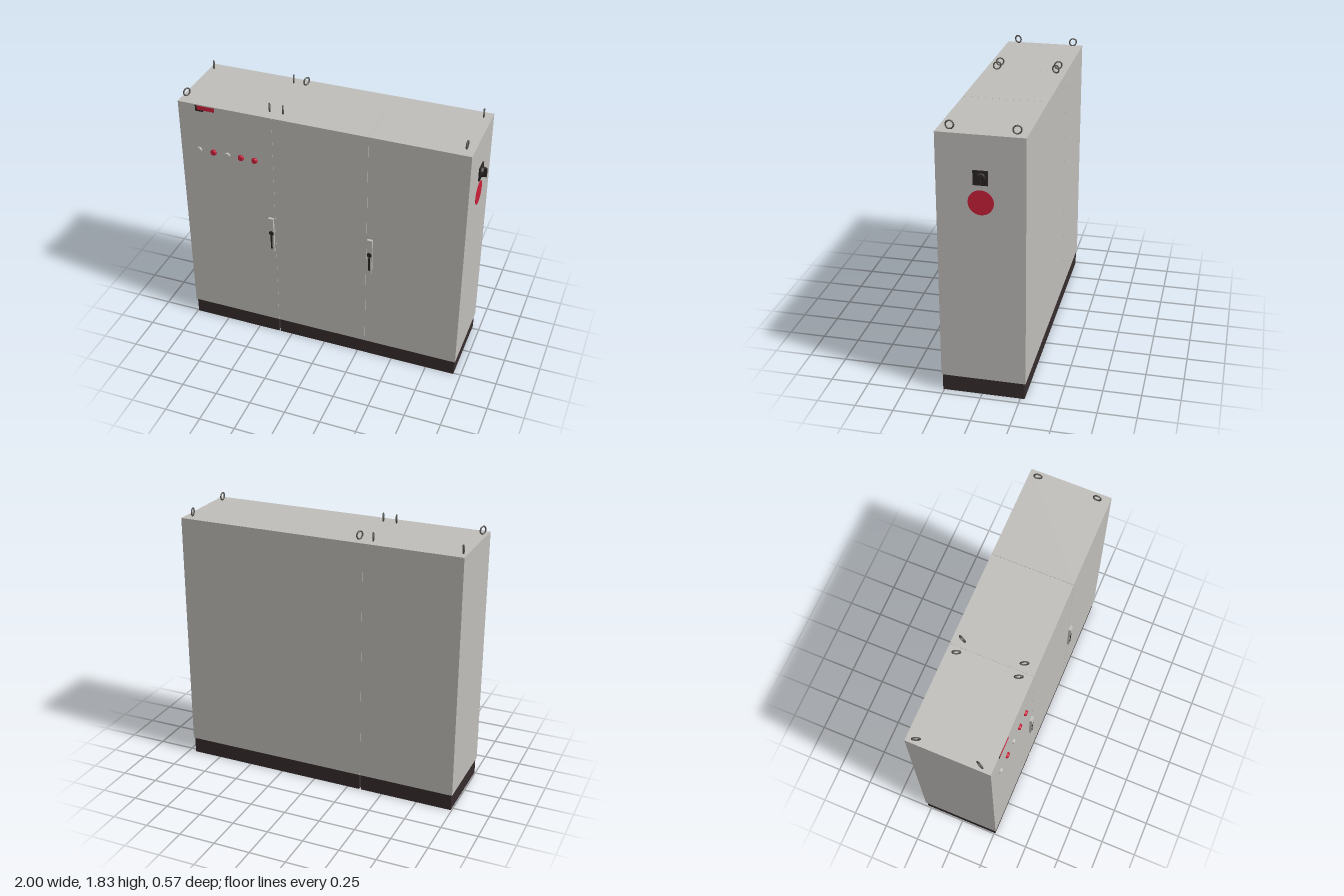
import * as THREE from 'three';

const paint = (name, color) => {
  const m = new THREE.MeshStandardMaterial({ color });
  m.name = name;
  return m;
};

export function createModel() {
  const grey = paint('cabinetGrey', 0xc0beba);
  const dark = paint('plinthBrown', 0x362c2d);
  const black = paint('switchBlack', 0x2a2423);
  const red = paint('signalRed', 0xcc203a);
  const steel = paint('ringSteel', 0x5a5854);

  const model = new THREE.Group();
  model.name = 'controlCabinet';

  const group = (name, parent = model) => {
    const g = new THREE.Group();
    g.name = name;
    parent.add(g);
    return g;
  };
  const add = (parent, name, geometry, material, x = 0, y = 0, z = 0) => {
    const m = new THREE.Mesh(geometry, material);
    m.name = name;
    m.position.set(x, y, z);
    parent.add(m);
    return m;
  };
  // Box given by its lowest and highest corners
  const box = (parent, name, mat, [x0, y0, z0], [x1, y1, z1]) =>
    add(parent, name, new THREE.BoxGeometry(x1 - x0, y1 - y0, z1 - z0), mat,
      (x0 + x1) / 2, (y0 + y1) / 2, (z0 + z1) / 2);

  const B = 0.115, T = 1.77, ZB = -0.285, ZF = 0.265, W = 0.005;
  const HALF = 0.0007; // half the seam between panels
  const SPLIT = -0.343, DOOR = 0.304, X0 = -1, X1 = 0.957;

  // Hollow sheet-metal enclosures, open underneath
  const shell = (name, x0, x1, cuts) => {
    const g = group(name);
    box(g, 'backPanel', grey, [x0, B, ZB], [x1, T - W, ZB + W]);
    box(g, 'sidePanel', grey, [x0, B, ZB + W], [x0 + W, T - W, ZF - W]);
    box(g, 'sidePanel', grey, [x1 - W, B, ZB + W], [x1, T - W, ZF - W]);
    const stops = [x0, ...cuts, x1];
    for (let i = 0; i < stops.length - 1; i++) {
      const a = stops[i] + (i ? HALF : 0);
      const b = stops[i + 1] - (i < stops.length - 2 ? HALF : 0);
      box(g, 'door', grey, [a, B, ZF - W], [b, T - W, ZF]);
      box(g, 'roofPanel', grey, [a, T - W, ZB], [b, T, ZF]);
    }
  };
  shell('narrowEnclosure', X0, SPLIT - 0.0004, []);
  shell('wideEnclosure', SPLIT + 0.0004, X1, [DOOR]);

  // Plinth frames, open top and bottom
  const plinth = (x0, x1) => {
    const g = group('plinth'), z0 = -0.278, z1 = 0.258, w = 0.008;
    box(g, 'plinthFront', dark, [x0, 0, z1 - w], [x1, B, z1]);
    box(g, 'plinthBack', dark, [x0, 0, z0], [x1, B, z0 + w]);
    box(g, 'plinthSide', dark, [x0, 0, z0 + w], [x0 + w, B, z1 - w]);
    box(g, 'plinthSide', dark, [x1 - w, 0, z0 + w], [x1, B, z1 - w]);
  };
  plinth(-0.993, -0.35);
  plinth(-0.336, 0.95);

  // Lifting rings, each twisted a little: x, z, sideways lean
  const ring = new THREE.TorusGeometry(0.025, 0.005, 8, 24);
  [
    [-0.972, -0.22, 0.4], [-0.972, 0.185, -0.45],
    [-0.388, -0.22, 0.4], [-0.388, 0.185, 0.4],
    [-0.296, -0.22, -0.4], [-0.296, 0.185, 0.4],
    [0.905, -0.22, 0.2], [0.905, 0.185, 0],
  ].forEach(([x, z, lean]) => {
    add(model, 'liftingRing', ring, steel, x, T + 0.03, z).rotation.y = Math.PI / 2 + lean;
  });

  // Row of indicator buttons
  const collar = new THREE.CylinderGeometry(0.021, 0.021, 0.005, 24).rotateX(Math.PI / 2);
  const cap = new THREE.CylinderGeometry(0.017, 0.019, 0.01, 24).rotateX(Math.PI / 2);
  [[-0.868, grey], [-0.766, red], [-0.667, grey], [-0.57, red], [-0.473, red]].forEach(([x, mat]) => {
    const g = group('indicatorButton');
    g.position.set(x, 1.43, ZF);
    add(g, 'buttonCollar', collar, mat, 0, 0, 0.0025);
    add(g, 'buttonCap', cap, mat, 0, 0, 0.009);
  });

  // Name plate with a scalloped lower edge
  const plate = new THREE.Shape();
  plate.moveTo(-0.865, 1.763);
  plate.lineTo(-0.865, 1.738);
  for (let i = 0; i < 6; i++) {
    const x = -0.865 + i * 0.0205;
    plate.lineTo(x + 0.01, 1.73);
    plate.lineTo(x + 0.0205, 1.737);
  }
  plate.lineTo(-0.742, 1.763);
  add(model, 'redPlate',
    new THREE.ExtrudeGeometry(plate, { depth: 0.002, bevelEnabled: false }), red, 0, 0, ZF + 0.001);
  box(model, 'darkPlate', black, [-0.878, 1.722, ZF], [-0.822, 1.763, ZF + 0.001]);

  // Swing handles on the doors
  const boss = new THREE.CylinderGeometry(0.017, 0.017, 0.003, 24).rotateX(Math.PI / 2);
  [-0.37, 0.33].forEach((x) => {
    const g = group('doorHandle');
    g.position.set(x, 0, ZF);
    box(g, 'handleBase', grey, [-0.018, 0.725, 0], [0.018, 0.91, 0.014]);
    box(g, 'handleHead', grey, [-0.018, 0.91, 0], [0.018, 1.0, 0.019]);
    add(g, 'handleLock', boss, black, 0, 0.88, 0.0155);
    box(g, 'handleGrip', black, [-0.006, 0.752, 0.014], [0.006, 0.872, 0.0165]);
  });

  // Main switch and warning disc on the side
  const sw = group('mainSwitch');
  sw.position.set(X1, 1.503, -0.01);
  box(sw, 'switchPlate', black, [0, -0.046, -0.046], [0.01, 0.046, 0.046]);
  add(sw, 'switchDial', new THREE.CylinderGeometry(0.032, 0.036, 0.014, 28).rotateZ(-Math.PI / 2),
    black, 0.017);
  box(sw, 'switchKnob', black, [0.024, -0.03, -0.009], [0.043, 0.03, 0.009]);
  add(model, 'warningDisc', new THREE.CylinderGeometry(0.08, 0.08, 0.002, 48).rotateZ(-Math.PI / 2),
    red, X1 + 0.001, 1.343, -0.01);

  return model;
}
